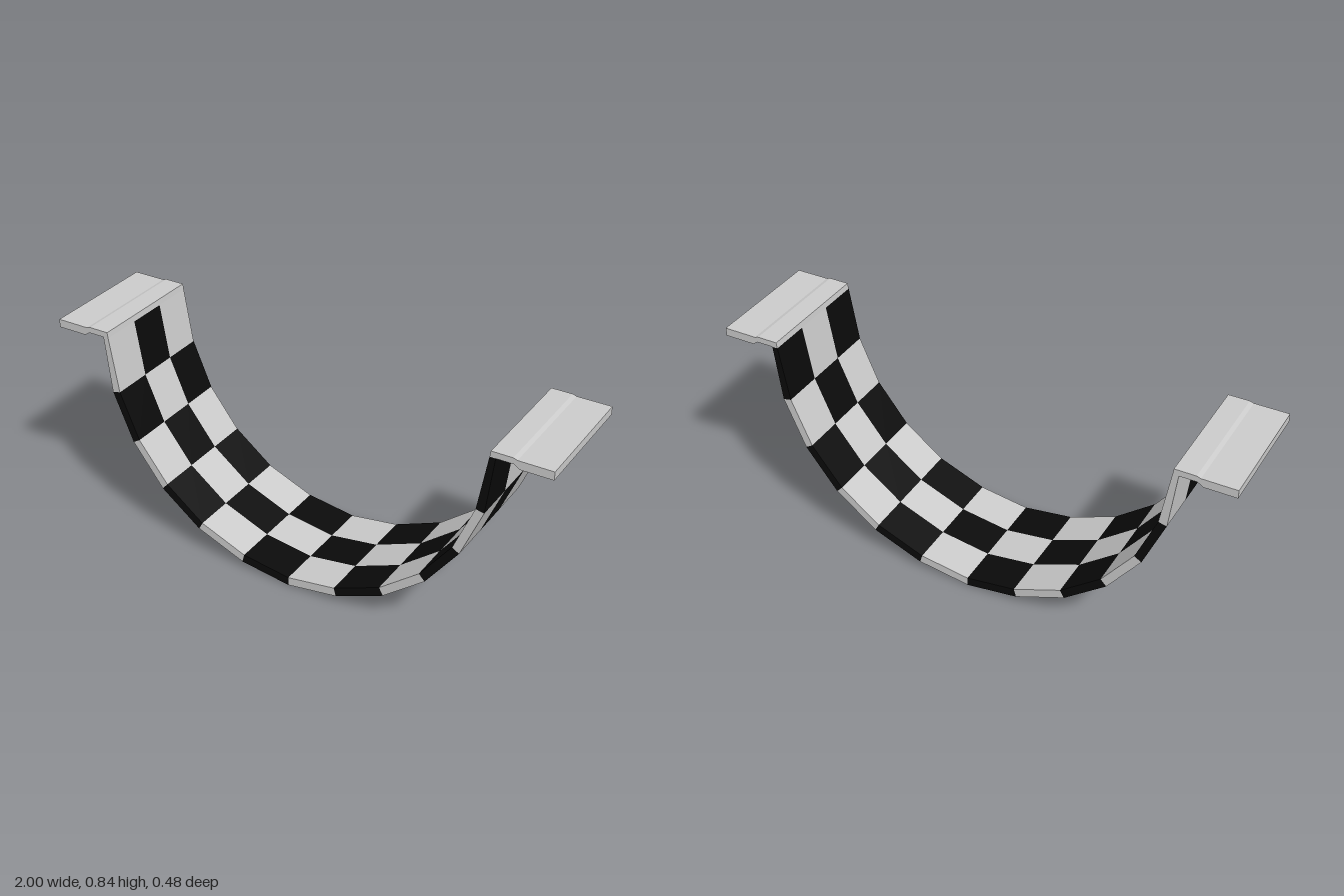
import * as THREE from 'three';

const HALF_WIDTH = 0.2365;
const ROWS = 3;

// Half of the curved band, from the bottom centre up to the flange
const outer = [[0, 0], [0.205, 0.03], [0.4, 0.11], [0.563, 0.237], [0.688, 0.403], [0.769, 0.597], [0.795, 0.82]];
const inner = [[0, 0.034], [0.196, 0.063], [0.384, 0.14], [0.54, 0.262], [0.66, 0.42], [0.737, 0.604], [0.773, 0.82]];

// Flange: a thin lip over the band, stepping down to a thicker slab
const flange = [[0.773, 0.82], [0.86, 0.82], [0.88, 0.806], [1, 0.806], [1, 0.838], [0.87, 0.838], [0.855, 0.843], [0.776, 0.843]];

// Extrudes a mirrored profile between two depths, leaning slightly back with height
function prism(points, side, z0, z1) {
  const shape = new THREE.Shape(points.map(([x, y]) => new THREE.Vector2(x * side, y)));
  const geo = new THREE.ExtrudeGeometry(shape, { depth: z1 - z0, bevelEnabled: false });
  geo.translate(0, 0, z0);
  const p = geo.attributes.position;
  for (let i = 0; i < p.count; i++) p.setZ(i, p.getZ(i) + 0.0035 - 0.0078 * p.getY(i));
  geo.computeVertexNormals();
  return geo;
}

export function createModel() {
  const model = new THREE.Group();
  model.name = 'checkeredCradle';
  const grey = new THREE.MeshStandardMaterial({ color: 0xcccccc });
  const black = new THREE.MeshStandardMaterial({ color: 0x0a0a0a });

  function add(parent, name, geo, material) {
    const mesh = new THREE.Mesh(geo, material);
    mesh.name = name;
    parent.add(mesh);
  }

  for (const side of [1, -1]) {
    const label = side > 0 ? 'left' : 'right';
    const band = new THREE.Group();
    band.name = label + 'Band';
    model.add(band);

    // Checkered tiles
    const step = (2 * HALF_WIDTH) / ROWS;
    for (let j = 0; j < outer.length - 1; j++) {
      const section = [outer[j], outer[j + 1], inner[j + 1], inner[j]];
      for (let row = 0; row < ROWS; row++) {
        const z0 = -HALF_WIDTH + row * step;
        const isGrey = (j + row + (side < 0 ? 1 : 0)) % 2 === 0;
        add(band, isGrey ? 'greyTile' : 'blackTile', prism(section, side, z0, z0 + step), isGrey ? grey : black);
      }
    }

    // Mounting flange
    add(model, label + 'Flange', prism(flange, side, -HALF_WIDTH, HALF_WIDTH), grey);
  }
  return model;
}
